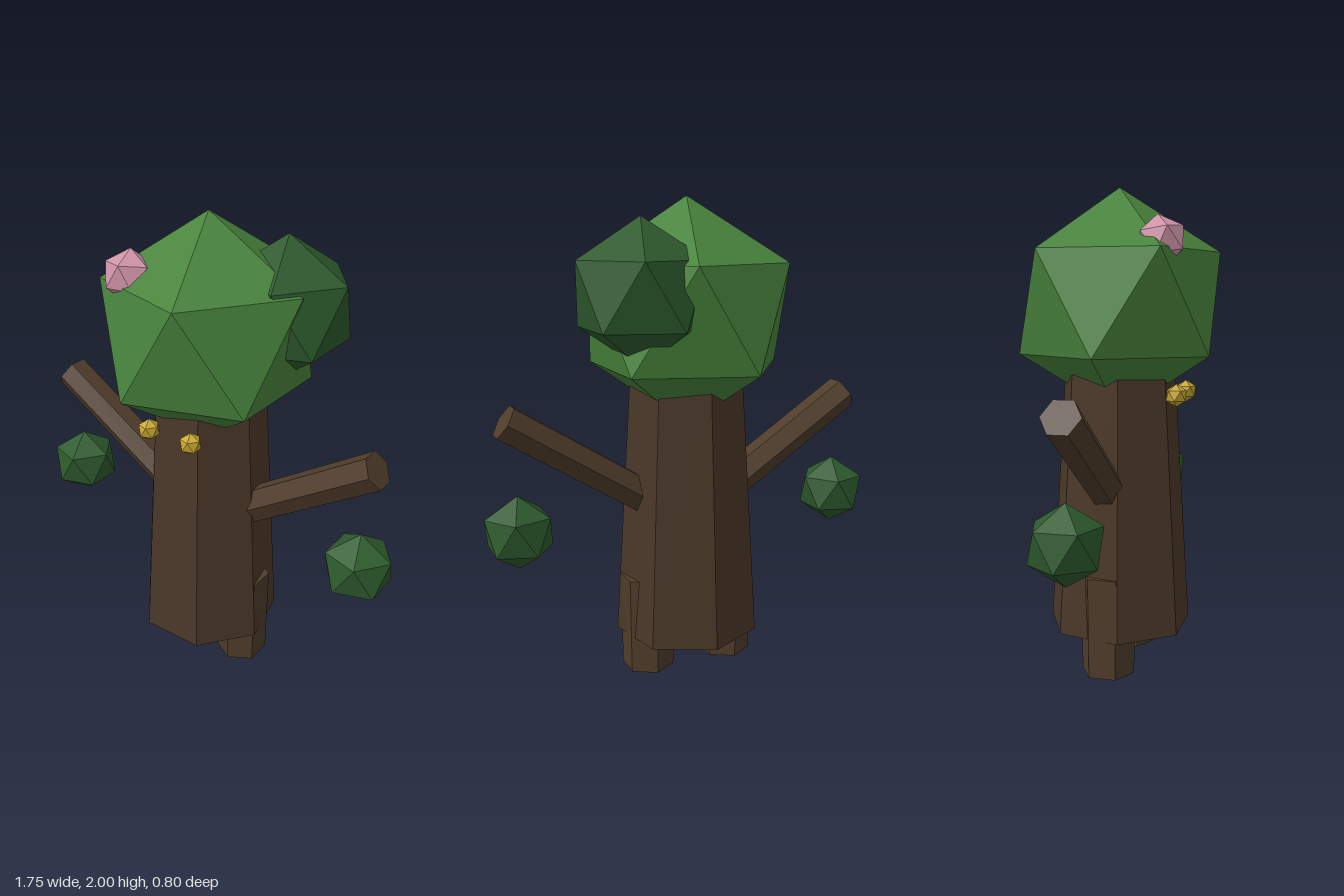
import * as THREE from 'three';

export function createModel() {
  const model = new THREE.Group();
  model.name = 'treeCreature';

  const material = (name, color) => {
    const m = new THREE.MeshStandardMaterial({ color, flatShading: true });
    m.name = name;
    return m;
  };
  const bark = material('bark', 0x4a3728);
  const limbBark = material('limb bark', 0x4f3c2a);
  const leaf = material('leaf green', 0x48843c);
  const darkLeaf = material('dark leaf green', 0x2d5a2d);
  const pink = material('blossom pink', 0xcf93a8);
  const gold = material('eye gold', 0xc8a832);

  const add = (name, geometry, mat, x, y, z) => {
    const mesh = new THREE.Mesh(geometry, mat);
    mesh.name = name;
    mesh.position.set(x, y, z);
    model.add(mesh);
    return mesh;
  };

  // Icosahedron standing on a corner, with an upper-ring corner towards +x
  const tilt = -Math.atan(2 / (1 + Math.sqrt(5)));
  const ball = (r) => new THREE.IcosahedronGeometry(r, 0).rotateZ(tilt);

  // Seven-sided tapering trunk, flat side to the front
  const trunk = new THREE.CylinderGeometry(0.24, 0.31, 1.1, 7).rotateY(Math.PI);
  add('trunk', trunk, bark, 0, 0.71, 0);

  // Foliage
  add('crown', ball(0.47), leaf, 0, 1.53, 0);
  add('sideFoliage', ball(0.29), darkLeaf, 0.26, 1.63, -0.155);
  const blossom = add('blossom', ball(0.104), pink, -0.212, 1.766, 0.222);
  blossom.rotation.set(-0.15, -0.1, 0);

  // Mirrored limbs, leaf hands and eyes
  const armAngle = Math.PI / 2 - 0.5708;
  const armLength = 0.74;
  for (const [side, s] of [['left', 1], ['right', -1]]) {
    add(side + 'Leg', new THREE.CylinderGeometry(0.117, 0.112, 0.42, 6),
      limbBark, s * 0.187, 0.21, 0);

    const arm = add(side + 'Arm', new THREE.CylinderGeometry(0.077, 0.077, armLength, 6), limbBark,
      s * (0.778 - Math.sin(armAngle) * armLength / 2),
      1.145 - Math.cos(armAngle) * armLength / 2, 0);
    arm.rotation.z = -s * armAngle;

    add(side + 'LeafHand', ball(0.153), darkLeaf, s * 0.737, 0.688, 0);
    add(side + 'Eye', ball(0.047), gold, s * 0.104, 1.16, 0.264);
  }

  return model;
}
